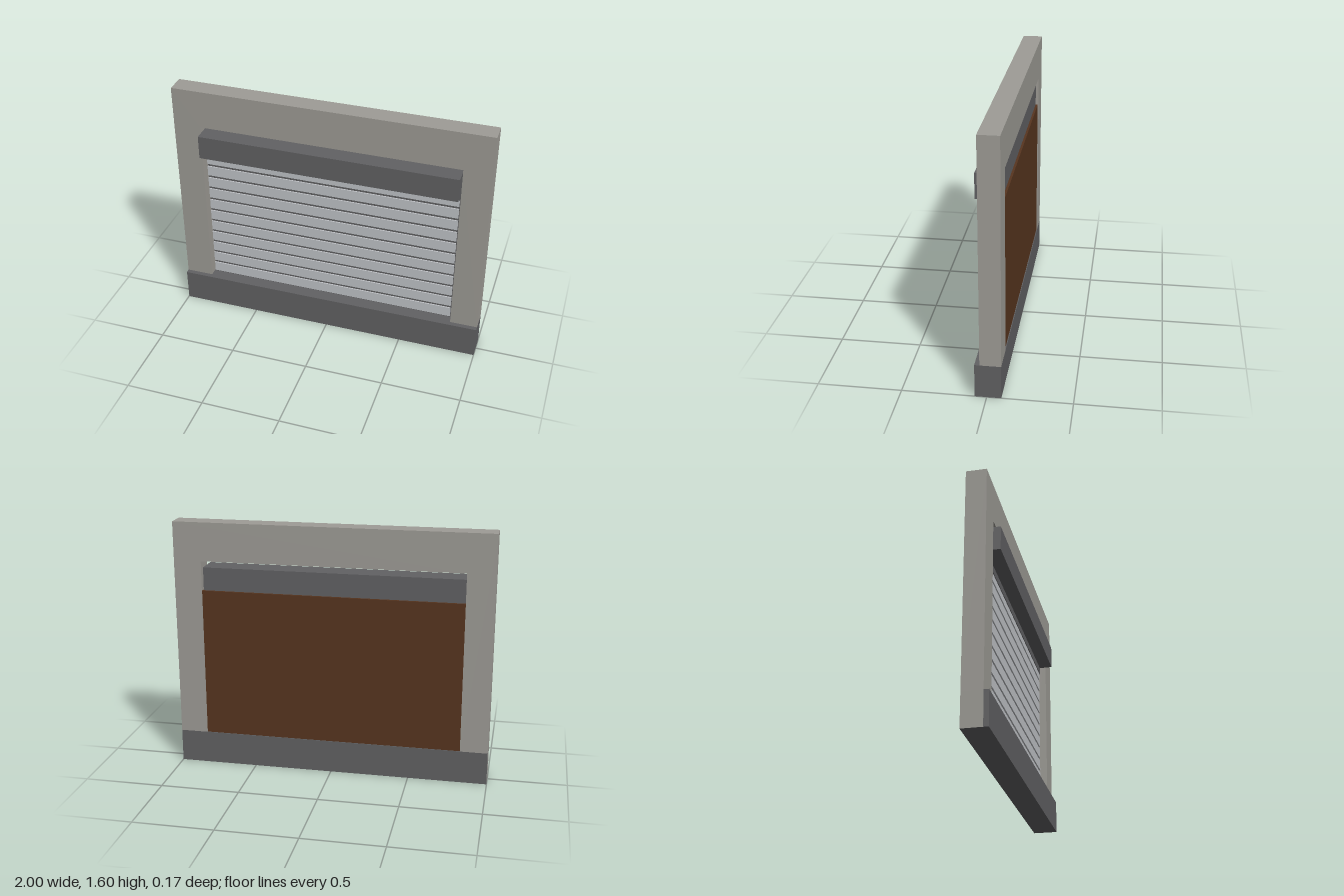
import * as THREE from 'three';

const material = (name, color) => {
  const m = new THREE.MeshStandardMaterial({ color });
  m.name = name;
  return m;
};

export function createModel() {
  const model = new THREE.Group();
  model.name = 'rollerShutterWall';
  const wallGrey = material('wallGrey', 0x9e9c96);
  const darkGrey = material('darkGrey', 0x616163);
  const slatGrey = material('slatGrey', 0xc1c4c8);
  const brown = material('brown', 0x57351f);

  // Box given by its lower and upper limits on each axis
  const box = (name, mat, [x0, x1], [y0, y1], [z0, z1], parent = model) => {
    const mesh = new THREE.Mesh(new THREE.BoxGeometry(x1 - x0, y1 - y0, z1 - z0), mat);
    mesh.position.set((x0 + x1) / 2, (y0 + y1) / 2, (z0 + z1) / 2);
    mesh.name = name;
    parent.add(mesh);
    return mesh;
  };

  const back = -0.085, front = 0.04, baseTop = 0.21, open = 0.825;

  // Wall: an arch of two posts and a lintel
  const arch = new THREE.Shape([
    [-1, baseTop], [-open, baseTop], [-open, 1.355], [open, 1.355],
    [open, baseTop], [1, baseTop], [1, 1.6], [-1, 1.6],
  ].map(([x, y]) => new THREE.Vector2(x, y)));
  const wall = new THREE.Mesh(
    new THREE.ExtrudeGeometry(arch, { depth: front - back, bevelEnabled: false }), wallGrey);
  wall.position.z = back;
  wall.name = 'wall';
  model.add(wall);

  // Plinth, with the wall finish running down one end
  box('plinth', darkGrey, [-0.999, 1], [0, baseTop], [back, 0.07]);
  box('plinthEndFinish', wallGrey, [-1, -0.998], [0, baseTop], [back, front]);

  // Door panel and shutter housing
  box('doorPanel', brown, [-open, open], [baseTop, 1.165], [-0.08, -0.03]);
  box('shutterHousing', darkGrey, [-open, 0.818], [1.16, 1.312], [-0.066, 0.085]);

  // Shutter: dark backing, top rail and evenly spaced slats
  const shutter = new THREE.Group();
  shutter.name = 'shutter';
  model.add(shutter);
  box('shutterBacking', darkGrey, [-0.817, 0.82], [baseTop, 1.16], [-0.031, -0.012], shutter);
  box('topRail', darkGrey, [-open, open], [1.115, 1.16], [-0.031, 0.0], shutter);
  for (let i = 0; i < 11; i++) {
    const y = 0.219 + i * 0.0848;
    box('slat', slatGrey, [-0.817, 0.813], [y, Math.min(y + 0.067, 1.115)], [-0.014, -0.004], shutter);
  }
  return model;
}
